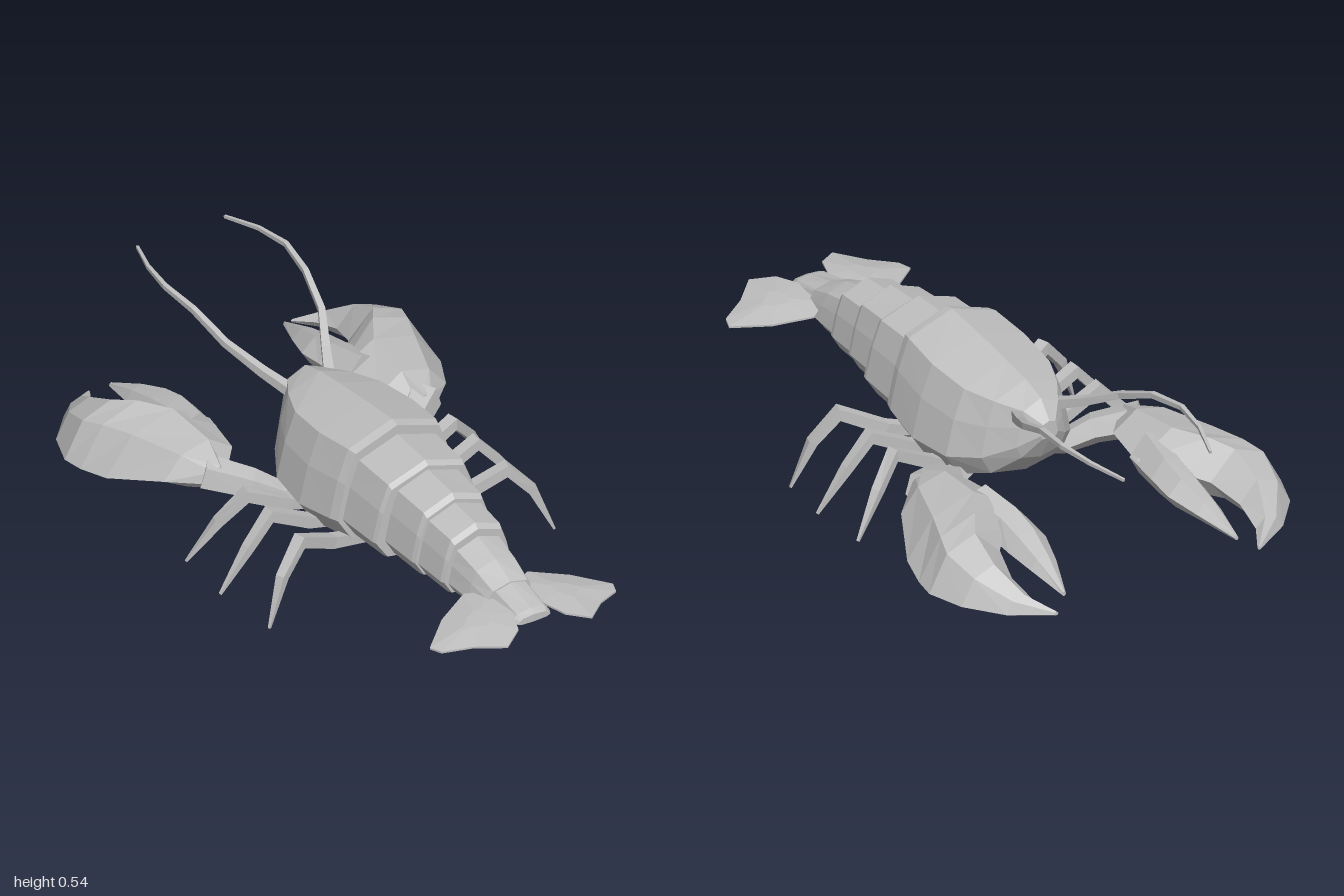
import * as THREE from 'three';

const shell = new THREE.MeshStandardMaterial({ color: 0xc0c0c0, flatShading: true });
shell.name = 'shellGrey';

// Closed skin over a list of rings (arrays of [x, y, z]); always faces outward.
function loft(rings) {
  const n = rings[0].length, tris = [];
  for (let r = 0; r < rings.length - 1; r++) {
    for (let i = 0; i < n; i++) {
      const j = (i + 1) % n;
      const a = rings[r][i], b = rings[r][j], c = rings[r + 1][j], d = rings[r + 1][i];
      tris.push([a, b, c], [a, c, d]);
    }
  }
  const first = rings[0], last = rings[rings.length - 1];
  for (let i = 1; i < n - 1; i++) {
    tris.push([first[0], first[i + 1], first[i]], [last[0], last[i], last[i + 1]]);
  }
  let volume = 0;
  for (const [a, b, c] of tris) {
    volume += a[0] * (b[1] * c[2] - b[2] * c[1]) + a[1] * (b[2] * c[0] - b[0] * c[2])
      + a[2] * (b[0] * c[1] - b[1] * c[0]);
  }
  if (volume < 0) tris.forEach((t) => t.reverse());
  const geometry = new THREE.BufferGeometry();
  geometry.setAttribute('position', new THREE.Float32BufferAttribute(tris.flat(2), 3));
  geometry.computeVertexNormals();
  return geometry;
}

// Symmetric faceted body section.
const HALF = [[0, 1], [0.7, 0.86], [0.87, 0.6], [1, 0.28], [0.78, 0.08], [0, 0]];
function bodyRing([z, w, top, bottom]) {
  const right = HALF.map(([x, y]) => [x * w, bottom + y * (top - bottom), z]);
  const left = right.slice(1, -1).reverse().map(([x, y]) => [-x, y, z]);
  return [...right, ...left];
}

// Tapered faceted limb through [x, y, z, radius] joints.
function limbRings(joints, sides) {
  const pts = joints.map((j) => new THREE.Vector3(j[0], j[1], j[2]));
  return pts.map((p, k) => {
    const dir = pts[Math.min(k + 1, pts.length - 1)].clone().sub(pts[Math.max(k - 1, 0)]).normalize();
    const side = new THREE.Vector3().crossVectors(dir, new THREE.Vector3(0, 1, 0)).normalize();
    const up = new THREE.Vector3().crossVectors(side, dir);
    return Array.from({ length: sides }, (_, i) => {
      const a = (i / sides) * Math.PI * 2 + Math.PI / 4;
      return p.clone().addScaledVector(side, Math.cos(a) * joints[k][3])
        .addScaledVector(up, Math.sin(a) * joints[k][3]).toArray();
    });
  });
}

// Claw section: [z, inner x, outer x, inner y, outer y, top, bottom].
function clawRing([z, xi, xo, yi, yo, top, bottom]) {
  const at = (t, y) => [xi + (xo - xi) * t, y, z];
  return [at(0, yi), at(0.35, top), at(0.75, top - (top - yo) * 0.25), at(1, yo),
    at(0.65, bottom), at(0.2, bottom + (yi - bottom) * 0.25)];
}

export function createModel() {
  const model = new THREE.Group();
  const add = (name, rings) => {
    const mesh = new THREE.Mesh(loft(rings), shell);
    mesh.name = name;
    model.add(mesh);
  };
  const addPair = (name, rings) => {
    add(name + 'Left', rings);
    add(name + 'Right', rings.map((ring) => ring.map(([x, y, z]) => [-x, y, z])));
  };

  // Carapace, rounded off at the head
  add('carapace', [
    [0.17, 0.205, 0.495, 0.13], [0.14, 0.215, 0.5, 0.125], [0, 0.23, 0.485, 0.1],
    [-0.15, 0.212, 0.465, 0.11], [-0.25, 0.155, 0.45, 0.15],
    [-0.33, 0.085, 0.425, 0.23], [-0.375, 0.03, 0.37, 0.31],
  ].map(bodyRing));

  // Overlapping tail segments, each flaring into a rear lip
  [
    [[0.12, 0.19, 0.465, 0.14], [0.32, 0.182, 0.458, 0.15], [0.335, 0.178, 0.445, 0.155]],
    [[0.3, 0.15, 0.435, 0.16], [0.465, 0.14, 0.425, 0.16], [0.48, 0.136, 0.41, 0.165]],
    [[0.45, 0.128, 0.4, 0.165], [0.59, 0.12, 0.39, 0.165], [0.605, 0.115, 0.375, 0.17]],
    [[0.57, 0.105, 0.36, 0.17], [0.7, 0.095, 0.325, 0.18], [0.78, 0.085, 0.29, 0.19]],
  ].forEach((rows, i) => add('tailSegment' + (i + 1), rows.map(bodyRing)));
  add('tailEnd', [[0.74, 0.075, 0.295, 0.195], [0.89, 0.067, 0.26, 0.215],
    [0.91, 0.055, 0.25, 0.225]].map(bodyRing));

  // Tail fan lobes: thin outline with a raised middle
  const outline = [[0.05, 0.74], [0.11, 0.7], [0.22, 0.755], [0.315, 0.84], [0.3, 0.88],
    [0.22, 0.925], [0.145, 0.995], [0.08, 0.95], [0.05, 0.87]];
  const fanRing = (scale, lift) => outline.map(([x, z]) => {
    const px = 0.15 + (x - 0.15) * scale;
    return [px, 0.25 - 0.18 * (px - 0.05) + lift, 0.84 + (z - 0.84) * scale];
  });
  addPair('tailFan', [fanRing(0.3, 0.015), fanRing(1, 0.003), fanRing(1, -0.003), fanRing(0.3, -0.025)]);

  // Claws: palm with the large outer finger, then the small inner finger
  addPair('claw', [
    [-0.235, 0.33, 0.39, 0.22, 0.2, 0.25, 0.18],
    [-0.33, 0.25, 0.485, 0.23, 0.19, 0.285, 0.145],
    [-0.5, 0.22, 0.575, 0.225, 0.14, 0.3, 0.115],
    [-0.6, 0.3, 0.6, 0.21, 0.125, 0.295, 0.1],
    [-0.67, 0.365, 0.61, 0.19, 0.122, 0.275, 0.1],
    [-0.78, 0.395, 0.57, 0.16, 0.118, 0.225, 0.1],
    [-0.88, 0.385, 0.48, 0.13, 0.11, 0.16, 0.1],
    [-0.95, 0.345, 0.36, 0.11, 0.107, 0.115, 0.103],
  ].map(clawRing));
  addPair('clawThumb', [
    [-0.46, 0.222, 0.38, 0.22, 0.2, 0.285, 0.14],
    [-0.59, 0.212, 0.345, 0.21, 0.19, 0.265, 0.14],
    [-0.68, 0.212, 0.342, 0.195, 0.18, 0.24, 0.14],
    [-0.78, 0.242, 0.33, 0.175, 0.165, 0.205, 0.14],
    [-0.91, 0.293, 0.306, 0.14, 0.138, 0.147, 0.132],
  ].map(clawRing));
  addPair('clawArm', limbRings([[0.07, 0.14, -0.1, 0.03], [0.19, 0.14, -0.16, 0.038],
    [0.27, 0.18, -0.2, 0.048], [0.38, 0.215, -0.28, 0.055]], 5));

  // Walking legs: root z, knee z, tip x, y and z
  [
    [-0.08, -0.09, 0.52, 0.025, -0.155],
    [0.03, 0.035, 0.53, 0.025, 0.045],
    [0.14, 0.2, 0.49, 0.005, 0.248],
  ].forEach(([z0, z1, x, y, z], i) => addPair('leg' + (i + 1), limbRings([
    [0.1, 0.13, z0, 0.022], [0.22, 0.165, (z0 * 2 + z1) / 3, 0.026],
    [0.355, 0.235, z1, 0.027], [0.43, 0.15, (z1 + z) / 2, 0.02], [x, y, z, 0.005],
  ], 4)));

  // Antennae
  addPair('antenna', limbRings([[0.06, 0.37, -0.29, 0.022], [0.11, 0.41, -0.39, 0.018],
    [0.165, 0.465, -0.5, 0.014], [0.192, 0.518, -0.63, 0.012], [0.208, 0.533, -0.76, 0.01],
    [0.19, 0.528, -0.88, 0.008], [0.15, 0.515, -1, 0.006]], 4));

  return model;
}
